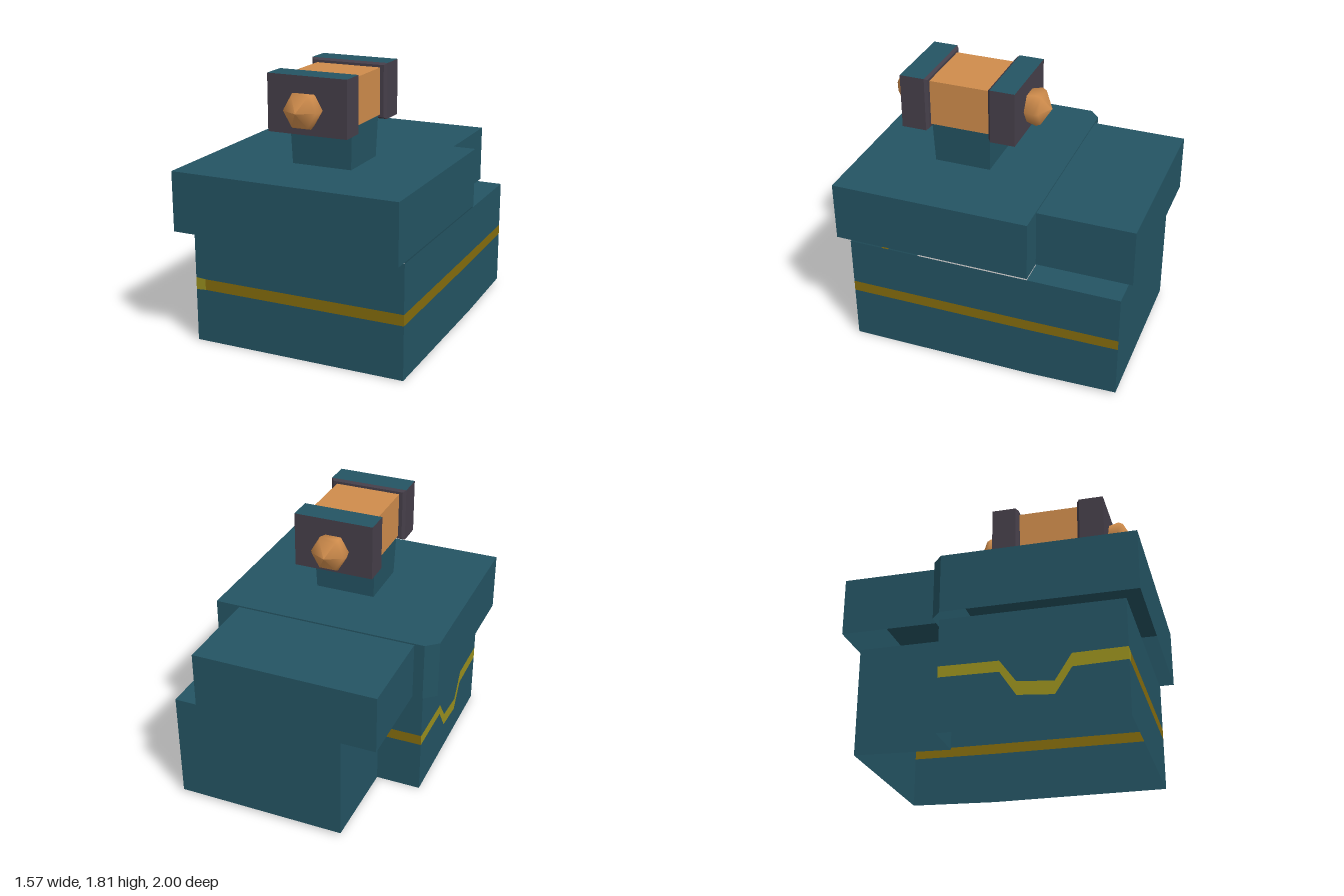
import * as THREE from 'three';

const mat = (name, color) => {
  const m = new THREE.MeshStandardMaterial({ color, side: THREE.DoubleSide });
  m.name = name;
  return m;
};

// Open wall: consecutive [x, z, yLow, yHigh] points joined by upright quads
function ribbon(points) {
  const pos = [];
  for (let i = 0; i < points.length - 1; i++) {
    const [x0, z0, l0, h0] = points[i];
    const [x1, z1, l1, h1] = points[i + 1];
    pos.push(x0, l0, z0, x1, l1, z1, x1, h1, z1, x0, l0, z0, x1, h1, z1, x0, h0, z0);
  }
  const g = new THREE.BufferGeometry();
  g.setAttribute('position', new THREE.Float32BufferAttribute(pos, 3));
  g.computeVertexNormals();
  return g;
}

// Flat horizontal sheet from an [x, z] outline
function sheet(outline, y) {
  const shape = new THREE.Shape(outline.map(([x, z]) => new THREE.Vector2(x, -z)));
  return new THREE.ShapeGeometry(shape).rotateX(-Math.PI / 2).translate(0, y, 0);
}

// Box whose vertices on one end of an axis are scaled about the centre line
function taperBox(w, h, d, axis, end, s) {
  const g = new THREE.BoxGeometry(w, h, d).toNonIndexed();
  const p = g.attributes.position;
  for (let i = 0; i < p.count; i++) {
    if (p.getComponent(i, axis) * end <= 0) continue;
    for (let a = 0; a < 3; a++) if (a !== axis) p.setComponent(i, a, p.getComponent(i, a) * s);
  }
  g.computeVertexNormals();
  return g;
}

export function createModel() {
  const model = new THREE.Group();
  const teal = mat('teal', 0x245463);
  const gold = mat('gold', 0x856c0d);
  const yellow = mat('yellow', 0x99901e);
  const orange = mat('orange', 0xcf8c4c);
  const plum = mat('plum', 0x463f4a);
  const add = (name, geo, material, parent = model) => {
    const m = new THREE.Mesh(geo, material);
    m.name = name;
    parent.add(m);
    return m;
  };

  // Hollow body; each point is [x, z, stripe low, stripe high, foot]
  const body = new THREE.Group();
  body.name = 'body';
  model.add(body);
  const top = 0.77;
  const notch = [[-0.7, -0.31, 0.37, 0.445, 0]];
  for (const [z, low, high] of [
    [0.09, 0.365, 0.44], [0.2, 0.2, 0.29], [0.44, 0.18, 0.27], [0.55, 0.35, 0.44], [0.9, 0.36, 0.445],
  ]) notch.push([-0.7, z, low, high, 0]);
  const corner = [-0.63, 0.9, 0.365, 0.44, 0];
  const inner = [-0.39, -0.31, 0.37, 0.445, 0];
  const straight = [corner, [0.78, 0.9, 0.365, 0.44, 0], [0.78, -0.35, 0.37, 0.445, 0],
    [0.78, -0.97, 0.38, 0.45, 0.02]];
  const striped = [inner, ...notch, ...straight];
  const band = pts => ribbon(pts.map(([x, z, l, h]) => [x, z, l, h]));
  add('lowerWalls', ribbon(striped.map(([x, z, l, , f]) => [x, z, f, l])), teal, body);
  add('upperWalls', ribbon(striped.map(([x, z, , h]) => [x, z, h, top])), teal, body);
  add('straightStripe', band(straight), gold, body);
  add('innerStripe', band([inner, notch[0]]), gold, body);
  add('zigzagStripe', band([...notch, corner]), yellow, body);
  add('rearWalls', ribbon([[0.78, -0.97, 0.02, top], [-0.39, -0.97, 0.02, top], [-0.39, -0.31, 0, top]]), teal, body);
  add('rearCover', sheet([[-0.39, -0.97], [0.78, -0.97], [0.78, -0.35], [-0.39, -0.35]], top), teal, body);

  // Lid in two sections, open underneath
  const lid = (name, outline, height, closed) => {
    const loop = closed ? [...outline, outline[0]] : outline;
    add(name + 'Walls', ribbon(loop.map(([x, z]) => [x, z, 0.78, height])), teal);
    add(name + 'Top', sheet(outline, height), teal);
  };
  lid('frontLid', [[-0.79, -0.28], [-0.79, 1], [0.78, 1], [0.78, -0.35], [-0.71, -0.35]], 1.185, true);
  lid('rearLid', [[0.61, -0.35], [0.61, -1], [-0.64, -1], [-0.64, -0.35]], 1.175, false);

  // Handle: neck, grip block, and mirrored end plates with knobs
  const handle = new THREE.Group();
  handle.name = 'handle';
  handle.position.set(0.03, 0, 0.305);
  model.add(handle);
  add('neck', taperBox(0.44, 0.29, 0.41, 1, -1, 0.95), teal, handle).position.y = 1.33;
  add('grip', new THREE.BoxGeometry(0.46, 0.315, 0.43), orange, handle).position.y = 1.625;

  const profile = [[0.11, 0], [0.127, 0.07], [0.112, 0.1], [0, 0.16]].map(([r, y]) => new THREE.Vector2(r, y));
  for (const side of [1, -1]) {
    const end = new THREE.Group();
    end.name = side > 0 ? 'frontEnd' : 'rearEnd';
    end.position.y = 1.625;
    end.rotation.y = side > 0 ? 0 : Math.PI;
    handle.add(end);
    add('plate', new THREE.BoxGeometry(0.55, 0.375, 0.17), [plum, plum, teal, plum, plum, plum], end).position.z = 0.312;
    add('plateBevel', taperBox(0.55, 0.375, 0.018, 2, -1, 0.93), plum, end).position.z = 0.218;
    const knob = new THREE.LatheGeometry(profile, 6, Math.PI / 2).rotateX(Math.PI / 2);
    add('knob', knob, orange, end).position.set(0, -0.02, 0.396);
  }
  return model;
}
